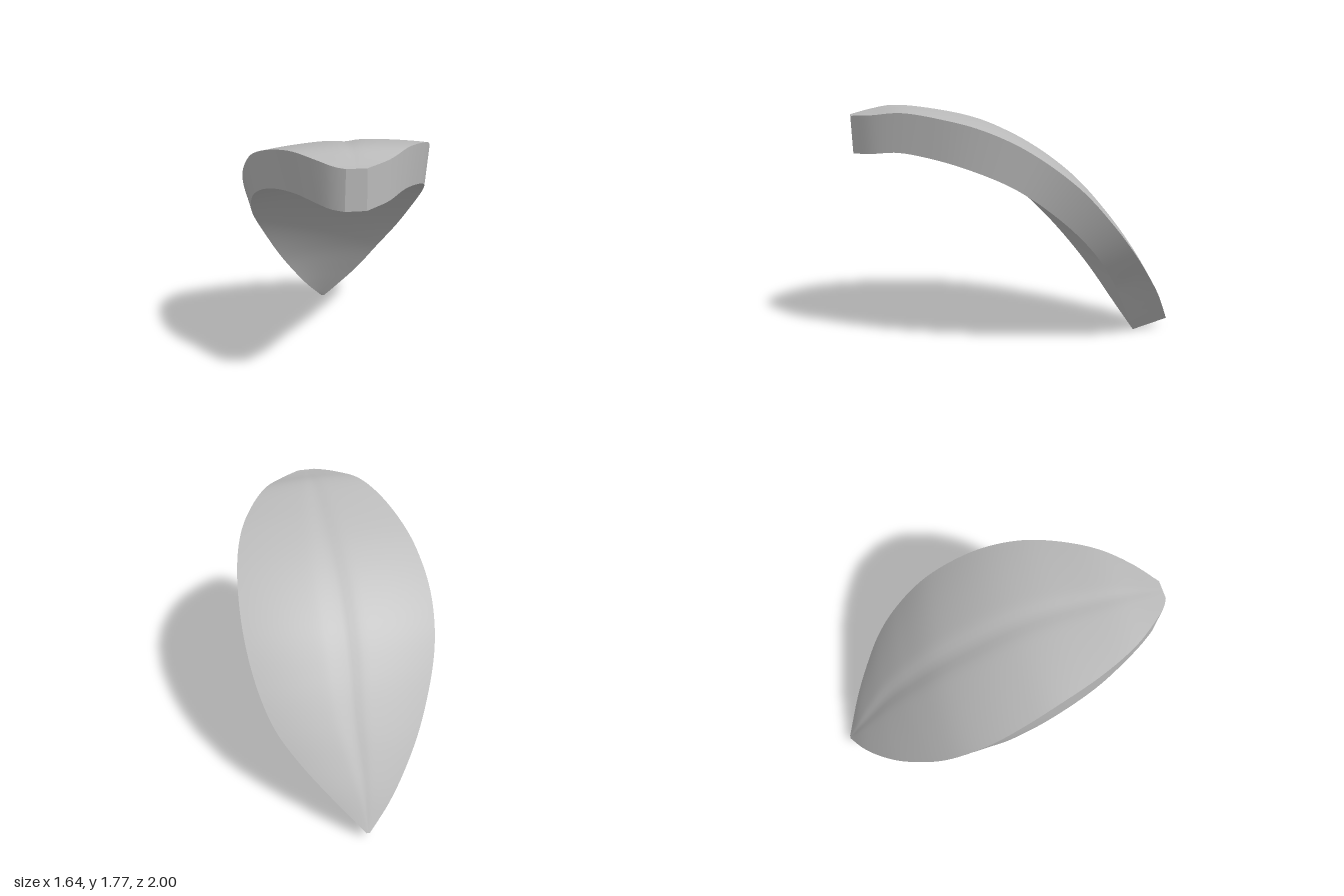
import * as THREE from 'three';

const N = 72, M = 32;
const curve = pts => new THREE.CatmullRomCurve3(pts.map(p => new THREE.Vector3(...p)), false, 'centripetal');

// Rim curves, from the low pointed tip to the high blunt head
const upperLeft = curve([[-.7, .08, -.97], [-.765, .24, -.8], [-.805, .42, -.61], [-.82, .65, -.38], [-.78, .98, -.07],
  [-.71, 1.18, .11], [-.6, 1.35, .28], [-.46, 1.49, .43], [-.3, 1.6, .57], [0, 1.71, .79], [.25, 1.755, .92],
  [.45, 1.74, .975], [.6, 1.72, 1], [.67, 1.715, .99]]);
const upperRight = curve([[-.68, .08, -.985], [-.4, .35, -1], [-.18, .55, -.99], [.02, .75, -.955], [.2, .98, -.86],
  [.4, 1.27, -.67], [.6, 1.53, -.37], [.72, 1.66, -.1], [.785, 1.72, .15], [.82, 1.755, .45], [.815, 1.73, .7], [.77, 1.715, .91]]);
const lowerLeft = curve([[-.54, 0, -.755], [-.59, .15, -.6], [-.64, .48, -.3], [-.61, .8, 0], [-.53, 1.06, .27],
  [-.42, 1.215, .43], [-.26, 1.34, .59], [0, 1.45, .78], [.25, 1.485, .9], [.45, 1.47, .97], [.57, 1.455, .995], [.66, 1.45, .985]]);
const lowerRight = curve([[-.52, 0, -.765], [-.4, .12, -.775], [-.2, .33, -.78], [0, .57, -.755], [.2, .8, -.69],
  [.4, 1.035, -.54], [.6, 1.26, -.3], [.73, 1.395, 0], [.79, 1.465, .3], [.812, 1.485, .5], [.81, 1.465, .7], [.765, 1.45, .9]]);

// Grid surface from a rule f(s, t)
function sheet(name, rows, cols, f, material) {
  const pos = [], index = [];
  for (let i = 0; i <= rows; i++)
    for (let j = 0; j <= cols; j++) pos.push(...f(i / rows, j / cols).toArray());
  for (let i = 0; i < rows; i++)
    for (let j = 0; j < cols; j++) {
      const a = i * (cols + 1) + j, b = a + cols + 1;
      index.push(a, b, a + 1, b, b + 1, a + 1);
    }
  const g = new THREE.BufferGeometry();
  g.setAttribute('position', new THREE.Float32BufferAttribute(pos, 3));
  g.setIndex(index);
  g.computeVertexNormals();
  const mesh = new THREE.Mesh(g, material);
  mesh.name = name;
  return mesh;
}

const middle = (left, right, s) => left.getPointAt(s).lerp(right.getPointAt(s), 0.5);

// Surface spanning two rims: bows out along the shell's thickness, flattening towards both ends
const span = (left, right, crease) => (s, t) => {
  const a = left.getPointAt(s), b = right.getPointAt(s);
  const out = middle(upperLeft, upperRight, s).sub(middle(lowerLeft, lowerRight, s)).normalize();
  const swell = Math.max(0, Math.sin(Math.PI * s ** 0.9)) ** 1.5;
  const dome = 0.08 * 4 * t * (1 - t);
  const fold = crease * Math.exp(-(((t - 0.5) / 0.06) ** 2));
  return a.lerp(b, t).addScaledVector(out, swell * (dome - fold));
};
const wall = (from, to) => (s, t) => from.getPointAt(s).lerp(to.getPointAt(s), t);

// Blunt end between the four rims
const cap = (end, flip) => (s, t) => {
  const k = flip ? 1 - s : s;
  const low = lowerLeft.getPointAt(end).lerp(lowerRight.getPointAt(end), k);
  const high = upperLeft.getPointAt(end).lerp(upperRight.getPointAt(end), k);
  return low.lerp(high, t);
};

export function createModel() {
  const group = new THREE.Group();
  group.name = 'curvedPetal';
  const grey = new THREE.MeshStandardMaterial({ color: 0xbbbbbb });
  grey.name = 'light grey';

  const under = span(lowerLeft, lowerRight, 0);
  group.add(
    sheet('topSurface', N, M, span(upperLeft, upperRight, 0.02), grey),
    sheet('underside', N, M, (s, t) => under(s, 1 - t), grey),
    sheet('leftWall', N, 1, wall(lowerLeft, upperLeft), grey),
    sheet('rightWall', N, 1, wall(upperRight, lowerRight), grey),
    sheet('headEnd', 1, 1, cap(1, false), grey),
    sheet('tipEnd', 1, 1, cap(0, true), grey)
  );
  return group;
}
